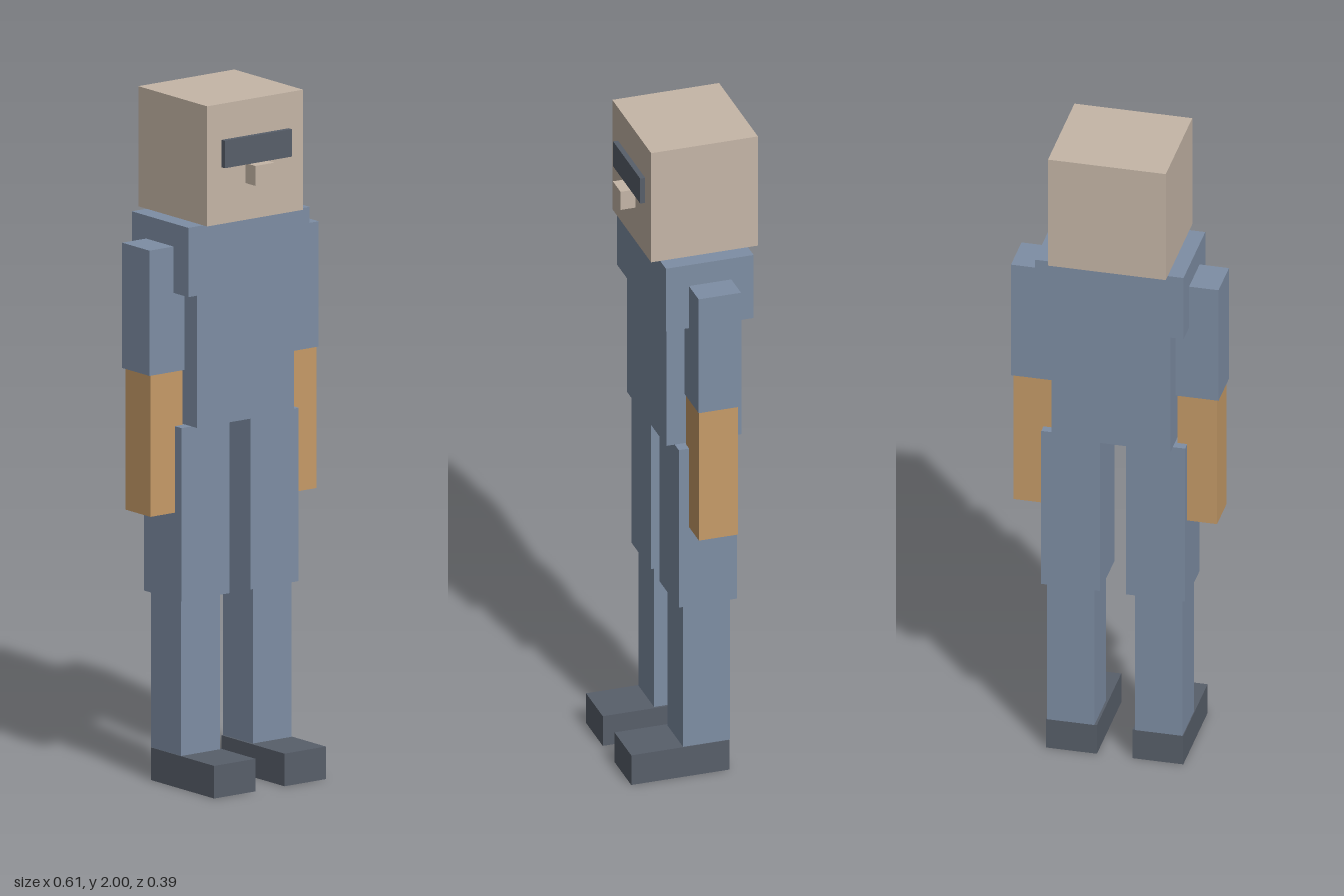
import * as THREE from 'three';

export function createModel() {
  const group = new THREE.Group();
  const material = (name, color) => {
    const m = new THREE.MeshStandardMaterial({ color });
    m.name = name;
    return m;
  };
  const skin = material('pale skin', 0xc5b6a7);
  const cloth = material('blue grey cloth', 0x7e8ea4);
  const tan = material('tan forearms', 0xc69b68);
  const dark = material('dark grey', 0x585f6a);

  // Box given by its [min, max] range on each axis
  const box = (name, mat, [x0, x1], [y0, y1], [z0, z1]) => {
    const mesh = new THREE.Mesh(new THREE.BoxGeometry(x1 - x0, y1 - y0, z1 - z0), mat);
    mesh.position.set((x0 + x1) / 2, (y0 + y1) / 2, (z0 + z1) / 2);
    mesh.name = name;
    group.add(mesh);
  };
  // Same box on both sides of the body
  const pair = (name, mat, [x0, x1], y, z) => {
    box('left' + name, mat, [x0, x1], y, z);
    box('right' + name, mat, [-x1, -x0], y, z);
  };

  // Head and face
  box('head', skin, [-0.172, 0.172], [1.65, 2], [-0.195, 0.125]);
  box('visor', dark, [-0.12, 0.12], [1.815, 1.895], [0.12, 0.14]);
  box('nose', skin, [-0.034, 0.034], [1.757, 1.815], [0.12, 0.17]);

  // Trunk
  box('shoulders', cloth, [-0.217, 0.217], [1.445, 1.647], [-0.167, 0.096]);
  box('torso', cloth, [-0.174, 0.174], [1.055, 1.45], [-0.145, 0.08]);

  // Arms
  pair('UpperArm', cloth, [0.178, 0.303], [1.215, 1.58], [-0.1, 0.027]);
  pair('Forearm', tan, [0.182, 0.297], [0.803, 1.215], [-0.093, 0.024]);

  // Legs
  pair('Thigh', cloth, [0.038, 0.21], [0.55, 1.055], [-0.119, 0.055]);
  pair('Shin', cloth, [0.059, 0.198], [0.095, 0.55], [-0.102, 0.038]);
  pair('Foot', dark, [0.052, 0.2], [0, 0.095], [-0.1, 0.194]);

  return group;
}
